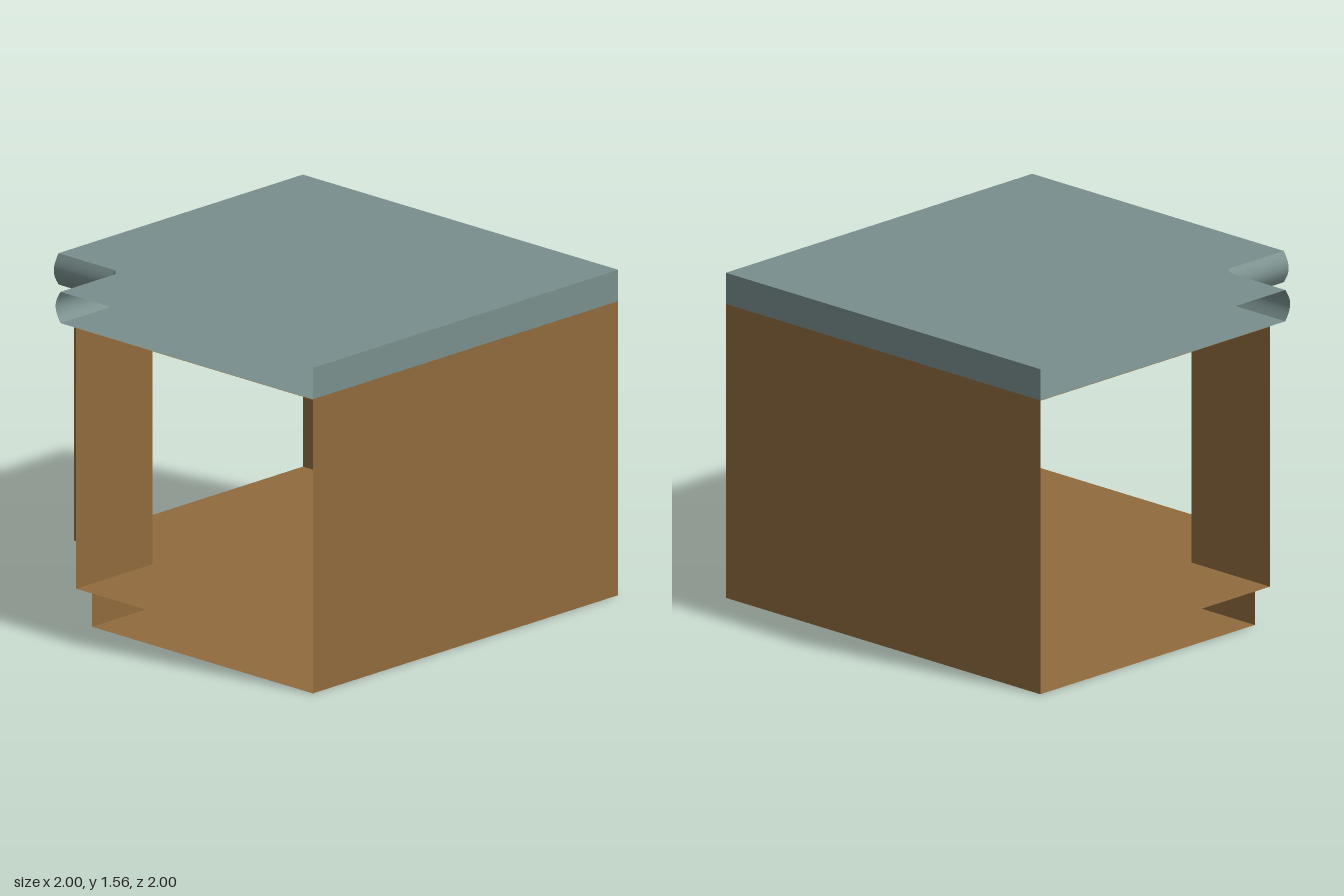
import * as THREE from 'three';

const wood = new THREE.MeshStandardMaterial({ color: 0x906b3d, side: THREE.DoubleSide });
const stone = new THREE.MeshStandardMaterial({ color: 0x798f8d, side: THREE.DoubleSide });

const FLOOR = 0.16, DECK = 1.41, TOP = 1.56;

// L-shaped outline with a notch in the front right corner; cut chamfers the inner corner
function notchPath(n, cut = 0) {
  return cut
    ? [[-1, n], [-n - cut, n], [-n, n + cut], [-n, 1]]
    : [[-1, n], [-n, n], [-n, 1]];
}

function createPart(group, name, geometry, material) {
  const mesh = new THREE.Mesh(geometry, material);
  mesh.name = name;
  group.add(mesh);
  return mesh;
}

// Horizontal L-shaped sheet at height y
function sheet(path, y) {
  const outline = [...path, [1, 1], [1, -1], [-1, -1]];
  const shape = new THREE.Shape(outline.map(([x, z]) => new THREE.Vector2(x, z)));
  return new THREE.ShapeGeometry(shape).rotateX(Math.PI / 2).translate(0, y, 0);
}

// Upright band following a path, bulging outwards by the given depth
function band(path, y0, y1, bulge = 0, steps = 1) {
  const pts = path.map(([x, z]) => new THREE.Vector2(x, z));
  const normals = pts.slice(1).map((p, i) => {
    const d = p.clone().sub(pts[i]).normalize();
    return new THREE.Vector2(-d.y, d.x);
  });
  // Mitred offset direction at each path point
  const miter = pts.map((_, i) => {
    const a = normals[Math.max(i - 1, 0)], b = normals[Math.min(i, normals.length - 1)];
    const m = a.clone().add(b).normalize();
    return m.divideScalar(m.dot(a));
  });
  const pos = [], index = [];
  for (let s = 0; s < normals.length; s++) {
    const base = pos.length / 3;
    for (let k = 0; k <= steps; k++) {
      const t = k / steps, off = bulge * Math.sin(Math.PI * t);
      for (const i of [s, s + 1]) {
        pos.push(pts[i].x + miter[i].x * off, y0 + (y1 - y0) * t, pts[i].y + miter[i].y * off);
      }
      if (k < steps) {
        const a = base + 2 * k;
        index.push(a, a + 1, a + 3, a, a + 3, a + 2);
      }
    }
  }
  const g = new THREE.BufferGeometry();
  g.setAttribute('position', new THREE.Float32BufferAttribute(pos, 3));
  g.setIndex(index);
  g.computeVertexNormals();
  return g;
}

// Raised door panel with bevelled edges
function raisedPanel() {
  const g = new THREE.BoxGeometry(0.325, 1.115, 0.022);
  const p = g.attributes.position;
  for (let i = 0; i < p.count; i++) {
    if (p.getZ(i) > 0) {
      p.setX(i, p.getX(i) - Math.sign(p.getX(i)) * 0.03);
      p.setY(i, p.getY(i) - Math.sign(p.getY(i)) * 0.055);
    }
  }
  g.computeVertexNormals();
  return g;
}

export function createModel() {
  const model = new THREE.Group();
  model.name = 'cornerCabinet';
  const walls = [[1, 1], [1, -1], [-1, -1]];

  // Carcass: open at both ends where neighbouring cabinets join
  const carcass = new THREE.Group();
  carcass.name = 'carcass';
  model.add(carcass);
  createPart(carcass, 'outerWalls', band(walls, 0, DECK), wood);
  createPart(carcass, 'cabinetFloor', sheet(notchPath(0.5), FLOOR), wood);
  createPart(carcass, 'cabinetCeiling', sheet(notchPath(0.5), DECK - 0.002), wood);

  // Recessed plinth
  createPart(carcass, 'toeKick', band(notchPath(0.4), 0, FLOOR), wood);
  createPart(carcass, 'plinthBottom', sheet(notchPath(0.4), 0), wood);

  // Two door leaves meeting in the inner corner
  const doors = new THREE.Group();
  doors.name = 'doors';
  model.add(doors);
  createPart(doors, 'doorLeaves', band(notchPath(0.5), FLOOR, DECK), wood);
  const midY = 0.787;
  createPart(doors, 'frontDoorPanel', raisedPanel(), wood).position.set(-0.7525, midY, 0.511);
  const side = createPart(doors, 'sideDoorPanel', raisedPanel(), wood);
  side.rotation.y = -Math.PI / 2;
  side.position.set(-0.511, midY, 0.7525);

  // Worktop: hollow, with a rounded nosing along the notch
  const worktop = new THREE.Group();
  worktop.name = 'worktop';
  model.add(worktop);
  const edge = notchPath(0.6, 0.04);
  createPart(worktop, 'worktopSurface', sheet(edge, TOP), stone);
  createPart(worktop, 'worktopUnderside', sheet(edge, DECK), stone);
  createPart(worktop, 'worktopBackEdges', band(walls, DECK, TOP), stone);
  createPart(worktop, 'worktopNosing', band(edge, DECK, TOP, 0.031, 12), stone);

  return model;
}
